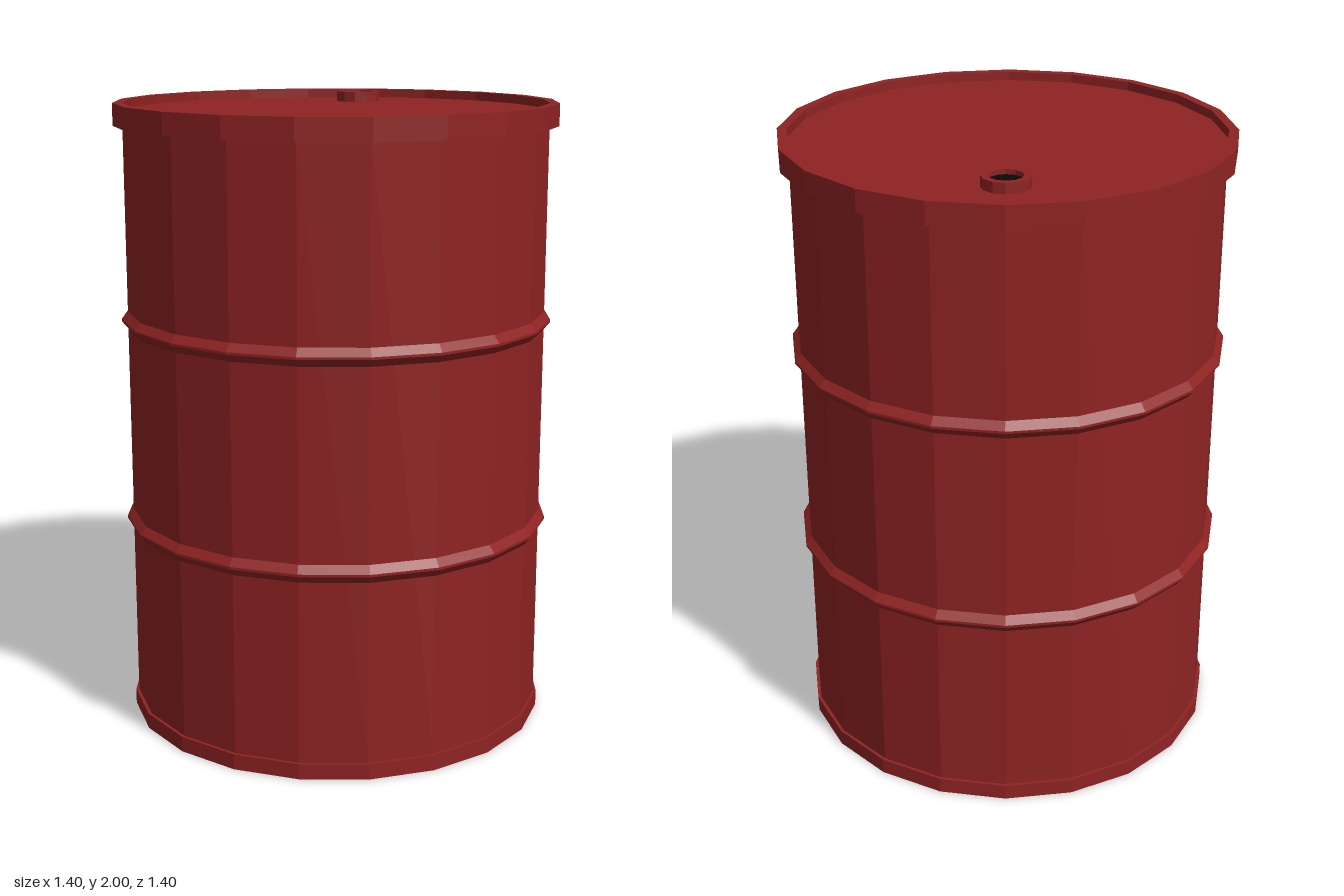
import * as THREE from 'three';

const SIDES = 20;

export function createModel() {
  const drum = new THREE.Group();
  drum.name = 'drum';
  const redPaint = new THREE.MeshStandardMaterial({ color: 0x8f2323 });
  redPaint.name = 'redPaint';
  redPaint.flatShading = true;
  const black = new THREE.MeshStandardMaterial({ color: 0x0a0a0a });
  black.name = 'black';

  // Spin a profile of [radius, y] pairs, listed counterclockwise from below, around y
  const spin = (name, profile, sides = SIDES, material = redPaint) => {
    const points = profile.map(([r, y]) => new THREE.Vector2(r, y));
    const mesh = new THREE.Mesh(new THREE.LatheGeometry(points, sides), material);
    mesh.name = name;
    drum.add(mesh);
    return mesh;
  };

  // Wall, base and lid
  spin('wall', [[0.67, 0.05], [0.67, 1.93]]);
  spin('baseBand', [[0, 0], [0.68, 0], [0.68, 0.05], [0.67, 0.05]]);
  spin('topRim', [[0.67, 1.925], [0.7, 1.925], [0.7, 1.995], [0.67, 1.995], [0.67, 1.967]]);
  spin('lid', [[0.67, 1.967], [0, 1.967]]);

  // Rolling hoops
  for (const [name, y] of [['lowerHoop', 0.658], ['upperHoop', 1.313]]) {
    spin(name, [[0.67, y - 0.028], [0.69, y - 0.004], [0.69, y + 0.004], [0.67, y + 0.028]]);
  }

  // Filler neck with its dark opening, near the back of the lid
  const neck = spin('fillerNeck',
    [[0.073, 1.967], [0.073, 2], [0.052, 2], [0.052, 1.98]], 12);
  const opening = spin('fillerOpening', [[0.053, 1.985], [0, 1.985]], 24, black);
  neck.position.z = opening.position.z = -0.457;

  return drum;
}
